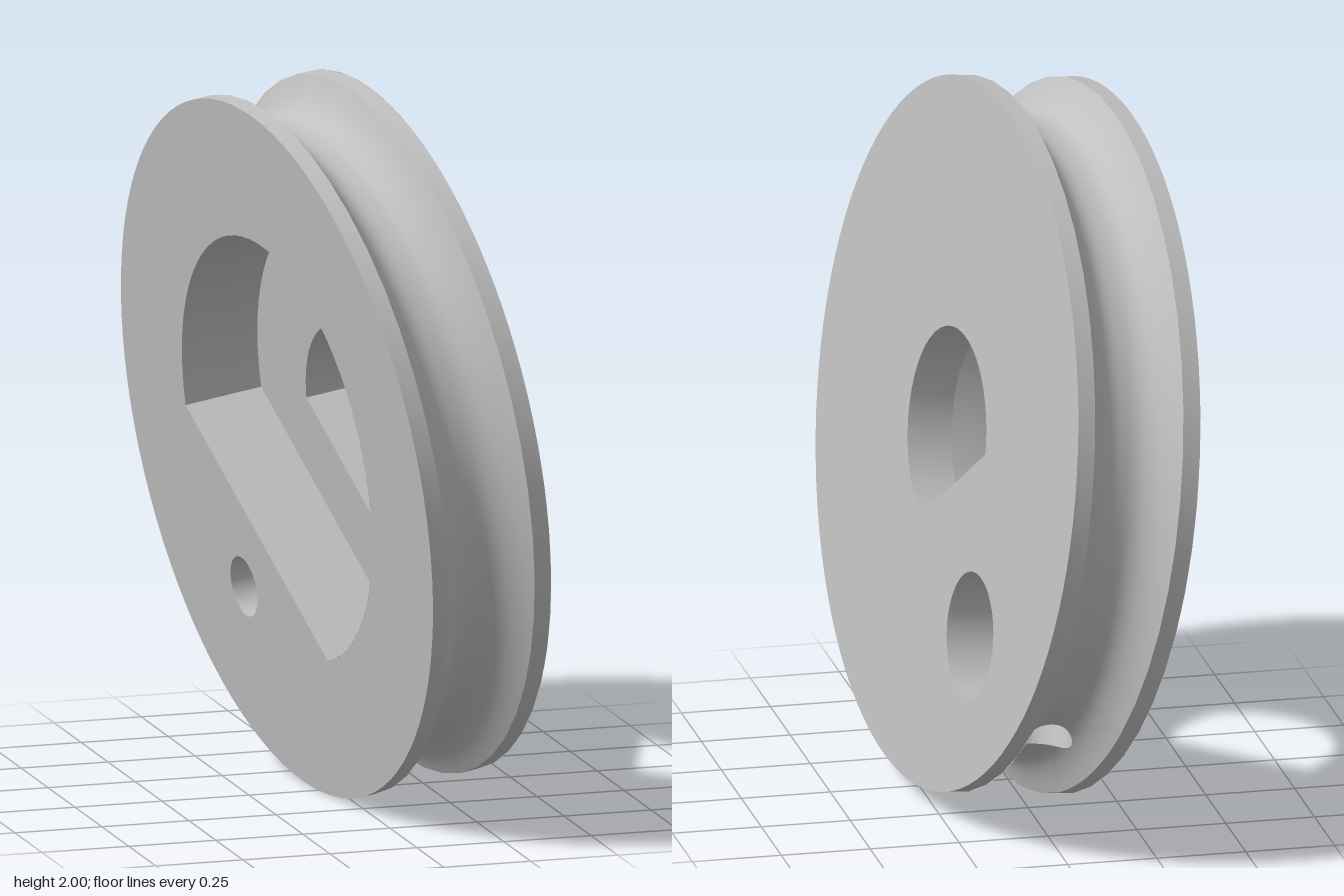
import * as THREE from 'three';

// Wheel frame: local z is the axle, local x points towards the cord bores.
const R = 0.985, H = 0.18, GROOVE = 0.13, SEG = 48;
const BORE_X = 0.587, BORE_R = 0.175, CORD_R = 0.085, CHANNEL_R = 0.08;
const HOLE = { r: 0.295, d: 0.15 };   // D-shaped axle hole
const POCKET = { r: 0.6, d: 0.36 };   // larger D-shaped recess
const POCKET_Z = 0.05;

const lerp = THREE.MathUtils.lerp;
const TAU = Math.PI * 2;

// Surface from a rule fn(u, v) -> [x, y, z]
function grid(fn, nu, nv) {
  const pos = [], index = [];
  for (let j = 0; j <= nv; j++)
    for (let i = 0; i <= nu; i++) pos.push(...fn(i / nu, j / nv));
  for (let j = 0; j < nv; j++)
    for (let i = 0; i < nu; i++) {
      const a = j * (nu + 1) + i, b = a + 1, c = b + nu + 1, d = a + nu + 1;
      index.push(a, b, c, a, c, d);
    }
  const g = new THREE.BufferGeometry();
  g.setAttribute('position', new THREE.Float32BufferAttribute(pos, 3));
  g.setIndex(index);
  g.computeVertexNormals();
  return g;
}

const polar = (r, t, z) => [r * Math.cos(t), r * Math.sin(t), z];

// Groove radius at axial position a
const grooveR = (a) => 0.875 + (R - 0.875) * Math.pow(Math.abs(a) / GROOVE, 2.6);

function circle(Type, x, r) {
  const p = new Type();
  p.absarc(x, 0, r, 0, TAU, false);
  return p;
}

function dShape(Type, { r, d }) {
  const a = Math.acos(d / r), p = new Type();
  p.absarc(0, 0, r, a, TAU - a, false);
  p.closePath();
  return p;
}

export function createModel() {
  const grey = new THREE.MeshStandardMaterial({ color: 0xc0c0c0, side: THREE.DoubleSide });
  grey.name = 'grey';
  const wheel = new THREE.Group();
  wheel.name = 'pulleyWheel';

  function add(name, geometry) {
    const mesh = new THREE.Mesh(geometry, grey);
    mesh.name = name;
    wheel.add(mesh);
    return mesh;
  }

  // Flat face at height z, facing along +z or -z
  function face(name, shape, holes, z, down) {
    shape.holes.push(...holes);
    const g = new THREE.ShapeGeometry(shape, SEG);
    if (down) g.rotateX(Math.PI);
    g.translate(0, 0, z);
    add(name, g);
  }

  // Side faces
  face('plainFace', circle(THREE.Shape, 0, R),
    [dShape(THREE.Path, HOLE), circle(THREE.Path, BORE_X, BORE_R)], H, false);
  face('recessedFace', circle(THREE.Shape, 0, R),
    [dShape(THREE.Path, POCKET), circle(THREE.Path, BORE_X, CORD_R)], -H, true);
  face('pocketFloor', dShape(THREE.Shape, POCKET), [dShape(THREE.Path, HOLE)], POCKET_Z, true);

  // Walls of the D-shaped openings
  function dWalls(name, { r, d }, top, bottom) {
    const a = Math.acos(d / r), w = Math.sqrt(r * r - d * d);
    add(name + 'RoundWall', grid((u, v) => polar(r, lerp(a, TAU - a, u), lerp(top, bottom, v)), SEG, 1));
    add(name + 'FlatWall', grid((u, v) => [d, lerp(-w, w, u), lerp(top, bottom, v)], 1, 1));
  }
  dWalls('axleHole', HOLE, H, POCKET_Z);
  dWalls('pocket', POCKET, POCKET_Z, -H);

  // Flange rims
  for (const [name, z0, z1] of [['plainRim', GROOVE, H], ['recessedRim', -H, -GROOVE]])
    add(name, grid((u, v) => polar(R, u * TAU, lerp(z0, z1, v)), SEG, 1));

  // Rope groove, leaving a gap for the patch around the cord outlet
  const gap = TAU / 24;
  add('ropeGroove', grid((u, v) => {
    const a = lerp(-GROOVE, GROOVE, v);
    return polar(grooveR(a), lerp(gap, TAU - gap, u), a);
  }, SEG - 4, 24));

  // Groove patch: loops blending from a rectangle to the round outlet
  add('grooveOutletPatch', grid((u, v) => {
    const c = Math.cos(u * TAU), s = Math.sin(u * TAU);
    const k = 1 / Math.max(Math.abs(c), Math.abs(s));
    const ai = CHANNEL_R * s;
    const ti = Math.asin(CHANNEL_R * c / grooveR(ai));
    const a = lerp(GROOVE * s * k, ai, v);
    return polar(grooveR(a), lerp(gap * c * k, ti, v), a);
  }, 64, 10));

  // Cord channel from the bores out to the groove, one half per bore
  for (const [name, start, r] of [['channelUpperHalf', 0, BORE_R], ['channelLowerHalf', Math.PI, CORD_R]])
    add(name, grid((u, v) => {
      const t = start + u * Math.PI;
      const y = CHANNEL_R * Math.cos(t), z = CHANNEL_R * Math.sin(t);
      const inner = BORE_X + Math.sqrt(r * r - y * y);
      const outer = Math.sqrt(grooveR(z) ** 2 - y * y);
      return [lerp(outer, inner, v), y, z];
    }, 24, 1));

  // Bore walls, notched where the channel meets them
  function boreWall(name, r, ends) {
    add(name, grid((u, v) => {
      const [x, y] = polar(r, u * TAU, 0);
      const notch = x > 0 ? Math.sqrt(Math.max(0, CHANNEL_R ** 2 - y * y)) : 0;
      const [z0, z1] = ends(notch);
      return [BORE_X + x, y, lerp(z0, z1, v)];
    }, 128, 1));
  }
  boreWall('knotBoreWall', BORE_R, (n) => [H, n]);
  boreWall('cordHoleWall', CORD_R, (n) => [-n, -H]);

  // Knot bore floor with a slot for the channel
  const a1 = Math.asin(CHANNEL_R / BORE_R), a2 = Math.asin(CHANNEL_R / CORD_R);
  const floor = new THREE.Shape();
  floor.absarc(BORE_X, 0, BORE_R, a1, TAU - a1, false);
  floor.absarc(BORE_X, 0, CORD_R, TAU - a2, a2, true);
  face('knotBoreFloor', floor, [], 0, false);

  // Lean the wheel
  const axle = new THREE.Vector3(0.983, 0.13, -0.13).normalize();
  const x = new THREE.Vector3(0, -0.8, -0.6);
  x.addScaledVector(axle, -x.dot(axle)).normalize();
  const y = new THREE.Vector3().crossVectors(axle, x);
  wheel.quaternion.setFromRotationMatrix(new THREE.Matrix4().makeBasis(x, y, axle));
  wheel.position.y = 1;

  const model = new THREE.Group();
  model.name = 'pulley';
  model.add(wheel);
  return model;
}
